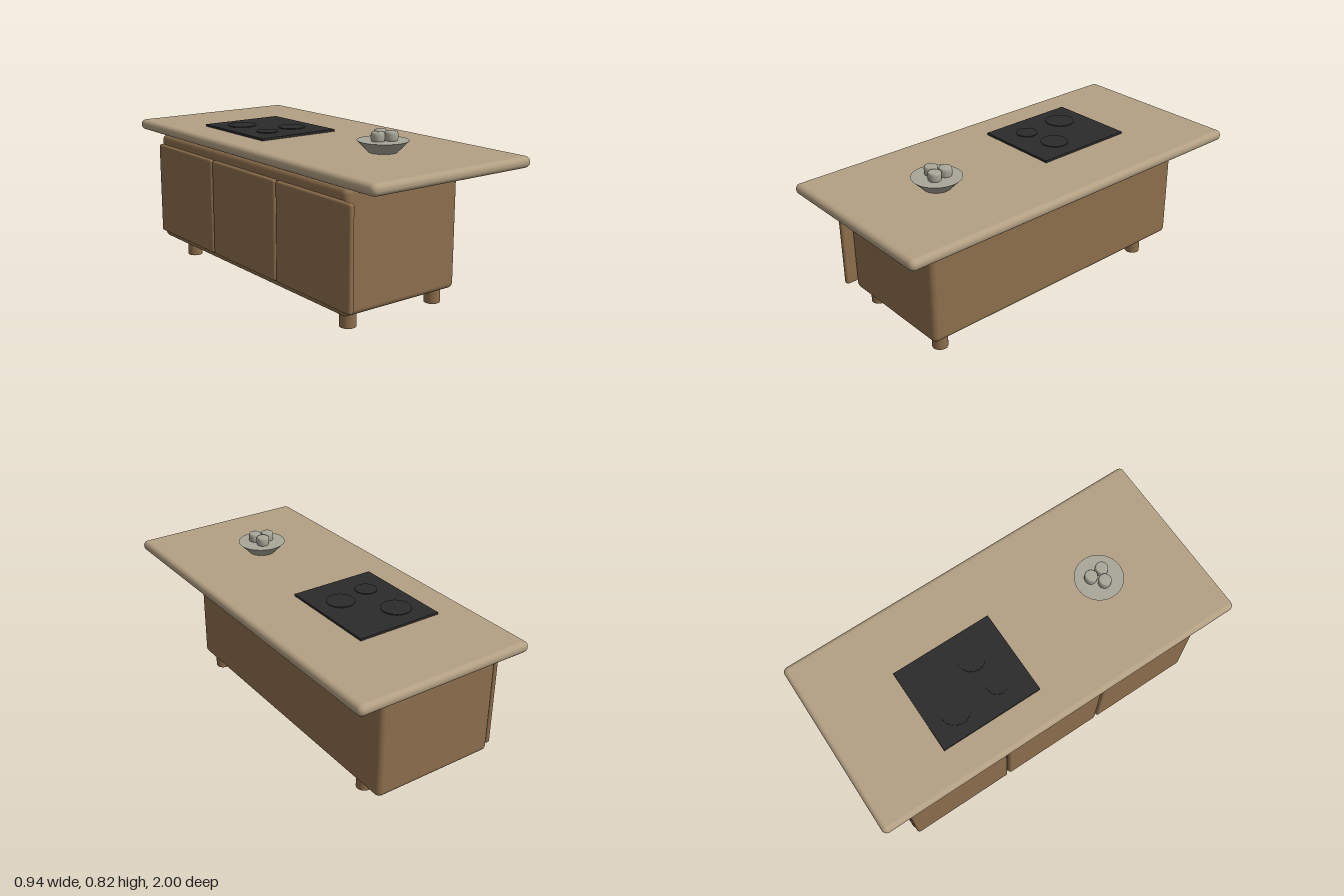
import * as THREE from 'three';
import { RoundedBoxGeometry } from 'three/addons/geometries/RoundedBoxGeometry.js';

const material = (name, color) => {
  const m = new THREE.MeshStandardMaterial({ color });
  m.name = name;
  return m;
};

export function createModel() {
  const wood = material('brown wood', 0x8e6f4d);
  const stone = material('beige worktop', 0xb3a083);
  const glass = material('black glass', 0x2b2b2b);
  const ceramic = material('grey ceramic', 0xa8a799);
  const group = new THREE.Group();
  group.name = 'kitchenIsland';

  const add = (name, geometry, mat, x, y, z) => {
    const mesh = new THREE.Mesh(geometry, mat);
    mesh.name = name;
    mesh.position.set(x, y, z);
    group.add(mesh);
    return mesh;
  };

  // Box given by its lower and upper corners, with rounded edges
  const block = (name, mat, [x0, y0, z0], [x1, y1, z1], radius) =>
    add(name, new RoundedBoxGeometry(x1 - x0, y1 - y0, z1 - z0, 5, radius), mat,
      (x0 + x1) / 2, (y0 + y1) / 2, (z0 + z1) / 2);

  block('worktop', stone, [-0.472, 0.672, -1], [0.472, 0.727, 1], 0.026);
  block('cabinet', wood, [-0.415, 0.075, -0.865], [0.255, 0.656, 0.755], 0.03);

  // Three doors along the right side
  for (let i = 0; i < 3; i++) {
    const z = -0.86 + i * 0.56;
    block('door', wood, [-0.435, 0.11, z], [-0.406, 0.604, z + 0.55], 0.013);
  }

  // Round feet, reaching a little into the cabinet
  for (const x of [-0.332, 0.185])
    for (const z of [-0.672, 0.675])
      add('foot', new THREE.CylinderGeometry(0.039, 0.039, 0.08, 32), wood, x, 0.04, z);

  // Hob with three cooking zones
  add('hob', new THREE.BoxGeometry(0.45, 0.011, 0.535), glass, -0.075, 0.7335, -0.303);
  for (const [x, z, r] of [[-0.165, -0.425, 0.075], [-0.165, -0.19, 0.055], [0.01, -0.222, 0.07]])
    add('cookingZone', new THREE.CylinderGeometry(r, r, 0.004, 48), glass, x, 0.741, z);

  // Flared dish
  add('dish', new THREE.CylinderGeometry(0.122, 0.068, 0.055, 48), ceramic, -0.001, 0.7545, 0.515);

  // Small round-edged pots standing on the dish
  const profile = [
    [0, 0], [0.029, 0], [0.031, 0.006], [0.0325, 0.016], [0.0325, 0.034],
    [0.031, 0.042], [0.028, 0.046], [0.024, 0.047], [0, 0.047],
  ].map(([x, y]) => new THREE.Vector2(x, y));
  for (const [x, z] of [[-0.038, 0.52], [0.016, 0.477], [0.023, 0.544]])
    add('pot', new THREE.LatheGeometry(profile, 32), ceramic, x, 0.778, z);

  return group;
}
